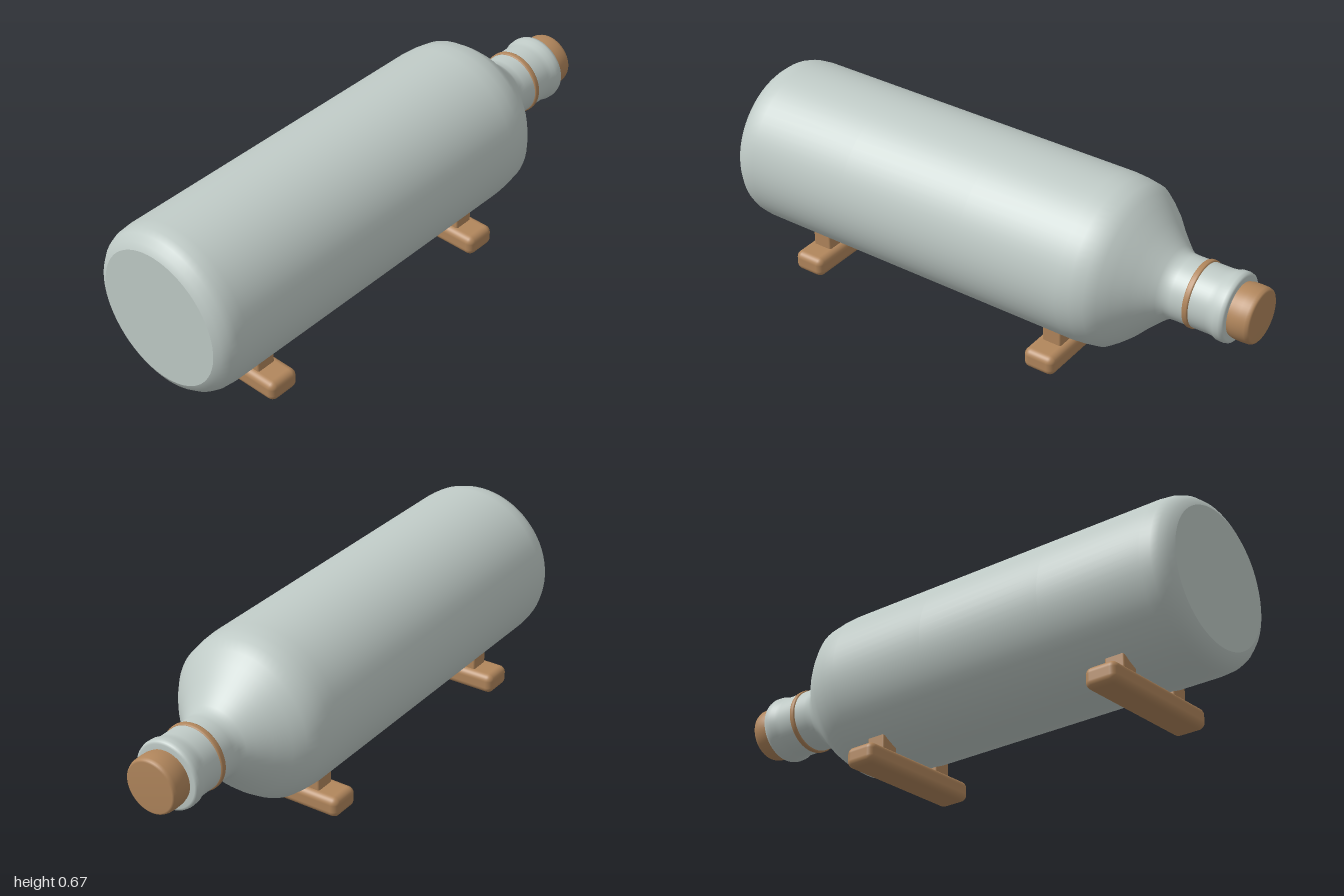
import * as THREE from 'three';
import { RoundedBoxGeometry } from 'three/addons/geometries/RoundedBoxGeometry.js';

const AXIS_Y = 0.374;

export function createModel() {
  const root = new THREE.Group();
  root.name = 'bottleOnStand';
  const glass = new THREE.MeshStandardMaterial({ color: 0xbfcac6 });
  glass.name = 'pale grey glass';
  const wood = new THREE.MeshStandardMaterial({ color: 0xb1865c });
  wood.name = 'warm wood';

  const add = (name, geometry, material, x, y, z) => {
    const mesh = new THREE.Mesh(geometry, material);
    mesh.name = name;
    mesh.position.set(x, y, z);
    root.add(mesh);
  };

  // Turned parts: profile points are [radius, x], spun about the long axis
  const turned = (name, points, material) => {
    const geometry = new THREE.LatheGeometry(points.map(([r, x]) => new THREE.Vector2(r, x)), 64);
    geometry.rotateZ(-Math.PI / 2);
    add(name, geometry, material, 0, AXIS_Y, 0);
  };

  // Bottle body, shoulder, neck and lip
  turned('bottle', [
    [0.245, -1], [0.268, -0.988], [0.287, -0.965], [0.296, -0.94], [0.3, -0.9],
    [0.3, -0.5], [0.3, 0], [0.3, 0.4], [0.296, 0.45], [0.288, 0.5], [0.263, 0.535],
    [0.233, 0.57], [0.19, 0.61], [0.152, 0.65], [0.13, 0.675], [0.116, 0.695],
    [0.114, 0.72], [0.114, 0.85], [0.116, 0.87], [0.122, 0.885], [0.123, 0.905],
    [0.12, 0.917], [0.112, 0.92], [0.09, 0.92],
  ], glass);

  // Flat bottle base with a crisp edge
  const base = new THREE.CircleGeometry(0.245, 64);
  base.rotateY(-Math.PI / 2);
  add('bottleBase', base, glass, -1, AXIS_Y, 0);

  // Neck ring
  turned('neckRing', [
    [0.112, 0.768], [0.117, 0.769], [0.119, 0.773], [0.119, 0.785], [0.117, 0.789], [0.112, 0.79],
  ], wood);

  // Stopper
  turned('stopper', [
    [0.092, 0.88], [0.094, 0.92], [0.098, 0.935], [0.099, 0.96], [0.098, 0.985],
    [0.094, 0.996], [0.088, 1], [0, 1],
  ], wood);

  // Two cross beams, each with a pair of short posts under the bottle
  for (const x of [-0.705, 0.305]) {
    add('standBeam', new RoundedBoxGeometry(0.122, 0.075, 0.514, 4, 0.025), wood, x, 0.0375, 0);
    for (const side of [-1, 1]) {
      add('standPost', new RoundedBoxGeometry(0.076, 0.1, 0.068, 3, 0.008), wood, x, 0.105, side * 0.138);
    }
  }
  return root;
}
